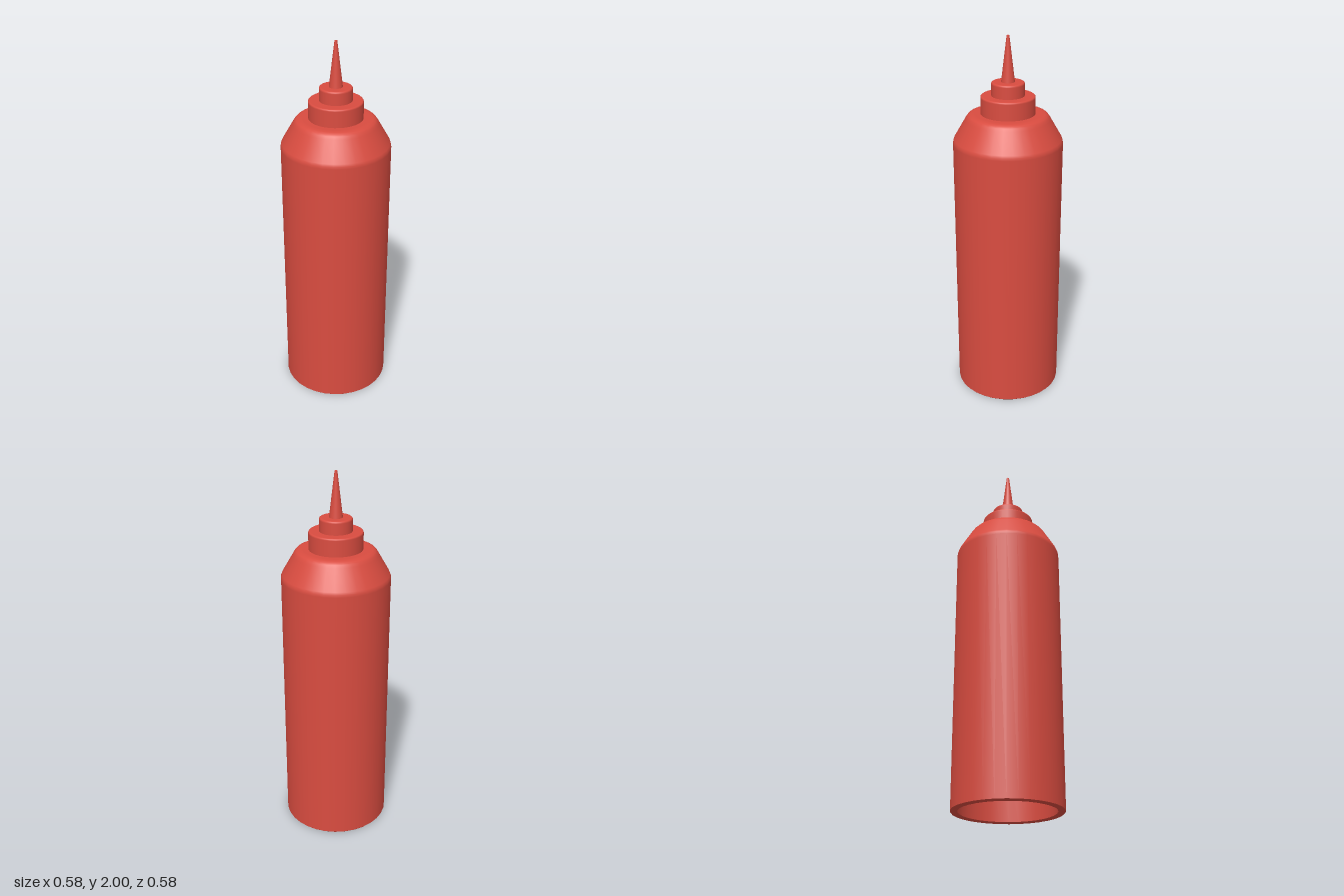
import * as THREE from 'three';

const SIDES = 32;
const red = new THREE.MeshStandardMaterial({ color: 0xd94c40 });

// Each run is a smooth [radius, height] profile; edges between runs stay sharp
function turned(name, runs) {
  const part = new THREE.Group();
  part.name = name;
  runs.forEach((run, i) => {
    const points = run.map(([r, y]) => new THREE.Vector2(r, y));
    const mesh = new THREE.Mesh(new THREE.LatheGeometry(points, SIDES), red);
    mesh.name = `${name}Surface${i + 1}`;
    part.add(mesh);
  });
  return part;
}

// Cap ring with a softly rounded top edge
function ring(name, radius, bottom, top, bevel) {
  const edge = [];
  for (let i = 0; i <= 4; i++) {
    const a = (i / 4) * Math.PI / 2;
    edge.push([radius - bevel + bevel * Math.cos(a), top - bevel + bevel * Math.sin(a)]);
  }
  return turned(name, [
    [[radius, bottom], [radius, top - bevel - 0.002], ...edge],
    [[radius - bevel, top], [0, top]],
  ]);
}

export function createModel() {
  const model = new THREE.Group();
  model.name = 'squeezeBottle';

  // Bottle with a recessed base and a sloped, rounded shoulder
  model.add(turned('bottleBody', [
    [[0, 0.27], [0.25, 0.27]],
    [[0.25, 0.27], [0.25, 0.004]],
    [[0.25, 0.004], [0.254, 0], [0.284, 0], [0.288, 0.004]],
    [[0.288, 0.004], [0.288, 1.44], [0.287, 1.453], [0.282, 1.466],
      [0.222, 1.57], [0.214, 1.583], [0.205, 1.592], [0.192, 1.597], [0.175, 1.598]],
    [[0.175, 1.598], [0, 1.598]],
  ]));

  // Screw cap in two steps
  model.add(ring('capCollar', 0.142, 1.59, 1.693, 0.008));
  model.add(ring('nozzleCollar', 0.086, 1.685, 1.764, 0.009));

  // Tapered nozzle
  model.add(turned('nozzle', [
    [[0.036, 1.76], [0.007, 2]],
    [[0.007, 2], [0, 2]],
  ]));
  return model;
}
